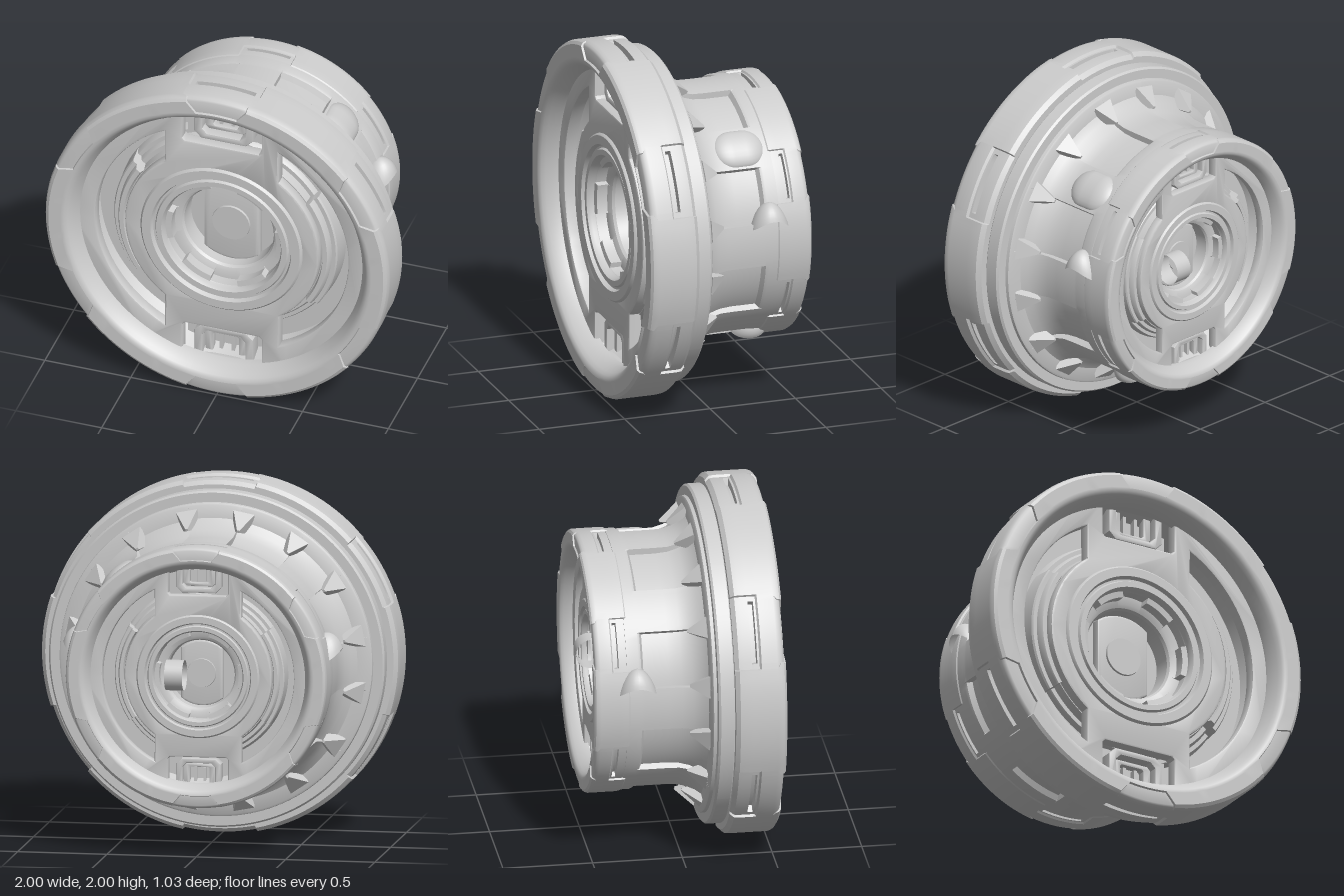
import * as THREE from 'three';
import { toCreasedNormals } from 'three/addons/utils/BufferGeometryUtils.js';

const RAD = Math.PI / 180;
const mat = new THREE.MeshStandardMaterial({ color: 0xcccccc, side: THREE.DoubleSide });

function add(parent, name, geo, x = 0, y = 0, z = 0) {
  const m = new THREE.Mesh(geo, mat);
  m.name = name;
  m.position.set(x, y, z);
  parent.add(m);
  return m;
}

// Angles of one period (degrees from its centre) repeated around the circle;
// each step angle gets two close columns so that the sweep forms a wall there.
function columns(period, steps, start) {
  const one = [];
  for (let d = -period / 2; d < period / 2 - 0.01; d += 2.5) {
    if (!steps.some(s => Math.abs(Math.abs(d) - s) < 0.6)) one.push(d);
  }
  for (const s of steps) one.push(-s - 0.15, -s + 0.15, s - 0.15, s + 0.15);
  one.sort((a, b) => a - b);
  const out = [];
  for (let k = 0; k < 360 / period; k++) for (const d of one) out.push({ d, c: start + k * period });
  return out;
}

// Sweep a profile [r, z, angleScale] around z, letting it change with the angle
function sweep(cols, profile) {
  const pos = [], idx = [];
  let n = 0;
  for (const { d, c } of cols) {
    const pts = profile(Math.abs(d));
    n = pts.length;
    for (const [r, z, k = 1] of pts) {
      const t = (c + d * k) * RAD;
      pos.push(r * Math.cos(t), r * Math.sin(t), z);
    }
  }
  for (let i = 0; i < cols.length; i++) {
    const j = (i + 1) % cols.length;
    for (let p = 0; p < n - 1; p++) {
      const a = i * n + p, b = j * n + p;
      idx.push(a, b, a + 1, b, b + 1, a + 1);
    }
  }
  const g = new THREE.BufferGeometry();
  g.setAttribute('position', new THREE.Float32BufferAttribute(pos, 3));
  g.setIndex(idx);
  return toCreasedNormals(g, 0.5);
}

const arc = (r, a0, a1, n) => Array.from({ length: n + 1 }, (_, i) => {
  const a = (a0 + (a1 - a0) * i / n) * RAD;
  return new THREE.Vector2(r * Math.cos(a), r * Math.sin(a));
});
const rectangle = (x, y0, y1, c) => [[-x + c, y0], [x - c, y0], [x, y0 + c], [x, y1 - c], [x - c, y1],
  [-x + c, y1], [-x, y1 - c], [-x, y0 + c]].map(p => new THREE.Vector2(...p));
const extrude = (outline, holes, depth, bevel) => {
  const s = new THREE.Shape(outline);
  s.holes = holes.map(h => new THREE.Path(h));
  return toCreasedNormals(new THREE.ExtrudeGeometry(s, {
    depth, bevelEnabled: bevel > 0, bevelSize: bevel, bevelThickness: bevel, bevelOffset: -bevel, bevelSegments: 2
  }), 0.5);
};

// One complete wheel face: outer radius 1, front at z = 0
function wheelEnd(name) {
  const g = new THREE.Group();
  g.name = name;

  // Rim with six sunk inserts on the face and six slotted recesses open to the back of the tread
  add(g, 'rim', sweep(columns(60, [10, 12], 30), d => {
    const ins = d < 12, back = ins ? 0.014 : 0, slit = d < 10 ? 0.945 : 1 - back;
    const e = ins ? 0.012 : 0, ko = d < 12.5 ? 0.85 : 1, ki = d < 12.5 ? 0.63 : 1;
    return [[0.9, -0.285], [0.975 - back, -0.285], [0.997 - back, -0.262], [1 - back, -0.235],
      [1 - back, -0.191], [slit, -0.189], [slit, -0.162], [1 - back, -0.16], [1 - back, -0.148], [1, -0.138],
      [1, -0.05], [1 - e / 2, -0.03, ko], [0.992 - e / 2, -0.012 - e / 2, ko], [0.975, -e, ko],
      [0.905, -e, ki], [0.9, 0, ki], [0.885, -0.003], [0.868, -0.014], [0.855, -0.035], [0.825, -0.085], [0.82, -0.13]];
  }));

  // Plate pierced by two curved windows, two pockets and the hub opening
  const win = [...arc(0.735, -63, 63, 40), ...arc(0.565, 54, -54, 36)];
  const pocket = rectangle(0.23, 0.62, 0.83, 0.015);
  const flip = (pts, sx, sy) => pts.map(p => new THREE.Vector2(p.x * sx, p.y * sy));
  const plate = extrude(arc(0.9, 0, 355, 71),
    [win, flip(win, -1, 1), pocket, flip(pocket, 1, -1), arc(0.43, 0, 355, 71)], 0.05, 0.012);
  add(g, 'facePlate', plate, 0, 0, -0.162);

  // Floor seen through the windows, with terraces stepping up to the hub
  add(g, 'windowFloor', sweep(columns(180, [34], 0), d => {
    const [a, b] = d < 34 ? [-0.165, -0.125] : [-0.24, -0.21];
    return [[0.84, -0.15], [0.77, -0.29], [0.66, -0.29], [0.65, a - 0.01], [0.643, a], [0.62, a],
      [0.612, b - 0.008], [0.605, b], [0.58, b], [0.57, -0.16], [0.4, -0.185]];
  }));

  // Nested brackets with a pair of bars inside each pocket
  for (const s of [1, -1]) {
    const p = new THREE.Group();
    p.name = 'pocketBracket';
    add(p, 'pocketFloor', new THREE.BoxGeometry(0.48, 0.23, 0.02), 0, 0.72, -0.24);
    add(p, 'outerBracket', extrude(rectangle(0.17, 0.635, 0.87, 0.04), [rectangle(0.125, 0.67, 0.86, 0.03)], 0.08, 0.008), 0, 0, -0.22);
    add(p, 'innerBracket', extrude(rectangle(0.12, 0.68, 0.87, 0.02), [rectangle(0.075, 0.705, 0.86, 0.01)], 0.04, 0.005), 0, 0, -0.22);
    for (const x of [-0.035, 0.035]) add(p, 'bar', new THREE.BoxGeometry(0.02, 0.14, 0.04), x, 0.78, -0.215);
    p.rotation.z = s > 0 ? 0 : Math.PI;
    g.add(p);
  }

  // Hub with raised collars and a castellated bore
  add(g, 'hub', sweep(columns(60, [14], 30), d => {
    const tooth = d < 14 ? 0.335 : 0.305;
    return [[0.475, -0.11], [0.47, -0.095], [0.46, -0.085], [0.41, -0.085], [0.4, -0.11], [0.388, -0.11],
      [0.38, -0.095], [0.35, -0.095], [0.34, -0.115], [0.338, -0.135], [tooth, -0.14], [tooth, -0.2],
      [0.29, -0.205], [0.27, -0.215], [0.26, -0.23], [0.255, -0.33], [0, -0.33]];
  }));
  const core = arc(0.25, 50, 130, 16).concat(arc(0.25, 230, 310, 16));
  add(g, 'hubCore', extrude(core, [], 0.04, 0.012), 0, 0, -0.322);
  add(g, 'hubCap', new THREE.CylinderGeometry(0.108, 0.112, 0.02, 40).rotateX(Math.PI / 2), 0, 0, -0.268);
  return g;
}

export function createModel() {
  const model = new THREE.Group();
  const wheel = new THREE.Group();
  wheel.name = 'wheel';
  wheel.position.y = 1;
  model.add(wheel);

  const front = wheelEnd('frontEnd');
  front.position.z = 0.515;
  const rear = wheelEnd('rearEnd');
  rear.scale.setScalar(0.73);
  rear.rotation.y = Math.PI;
  rear.position.z = -0.52;
  wheel.add(front, rear);

  // Flared neck: eight sunk channels between raised ribs, then the stepped flange
  add(wheel, 'neck', sweep(columns(45, [12.5], 22.5), d => {
    const mid = d < 12.5
      ? [[0.715, -0.255], [0.685, -0.24], [0.685, -0.1], [0.692, -0.03], [0.712, 0.03], [0.75, 0.08], [0.79, 0.108]]
      : [[0.72, -0.255], [0.72, -0.24], [0.72, -0.1], [0.722, -0.03], [0.738, 0.03], [0.765, 0.075], [0.795, 0.106]];
    return [[0.66, -0.34], [0.722, -0.335], [0.722, -0.27], ...mid,
      [0.865, 0.116], [0.875, 0.122], [0.878, 0.14], [0.93, 0.14], [0.94, 0.152], [0.94, 0.225], [0.93, 0.24], [0.85, 0.24]];
  }));

  // Pointed gussets at the foot of each rib edge
  const gusset = new THREE.CylinderGeometry(0.01, 0.085, 0.12, 4).rotateY(Math.PI / 4).rotateX(-Math.PI / 2);
  const flatGusset = toCreasedNormals(gusset, 0.3);
  for (let k = 0; k < 8; k++) for (const s of [-1, 1]) {
    const holder = new THREE.Group();
    holder.name = 'gusset';
    holder.rotation.z = (k * 45 + s * 11) * RAD;
    add(holder, 'gussetWedge', flatGusset, 0.77, 0, 0.065).rotation.y = 0.3;
    wheel.add(holder);
  }

  // Rounded oblong boss on the upper neck
  const boss = new THREE.Group();
  boss.name = 'ovalBoss';
  boss.rotation.z = 45 * RAD;
  const pill = new THREE.CapsuleGeometry(0.115, 0.07, 10, 24).rotateX(Math.PI / 2).scale(0.5, 1, 1);
  add(boss, 'ovalBossBody', pill, 0.695, 0, -0.165);
  wheel.add(boss);

  // Torn hood-like shells on both sides and a small one underneath
  const shell = new THREE.SphereGeometry(1, 28, 8, 0, Math.PI * 2, 0, Math.PI * 0.4);
  const p = shell.attributes.position;
  for (let i = 0; i < p.count; i++) p.setY(i, p.getY(i) - 0.55 * p.getZ(i) ** 2);
  shell.computeVertexNormals();
  for (const s of [-1, 1]) add(wheel, 'sideShell', shell, s * 0.69, 0.115, -0.28).scale.set(0.095, 0.125, 0.115);
  const low = add(wheel, 'lowerShell', shell, 0.34, -0.6, -0.28);
  low.scale.set(0.08, 0.07, 0.11);
  low.rotation.z = -60 * RAD;

  // Short open tube inside the rear hub
  add(wheel, 'rearTube', new THREE.CylinderGeometry(0.085, 0.085, 0.1, 28, 1, true).rotateZ(Math.PI / 2), 0.13, 0, -0.42);
  return model;
}
